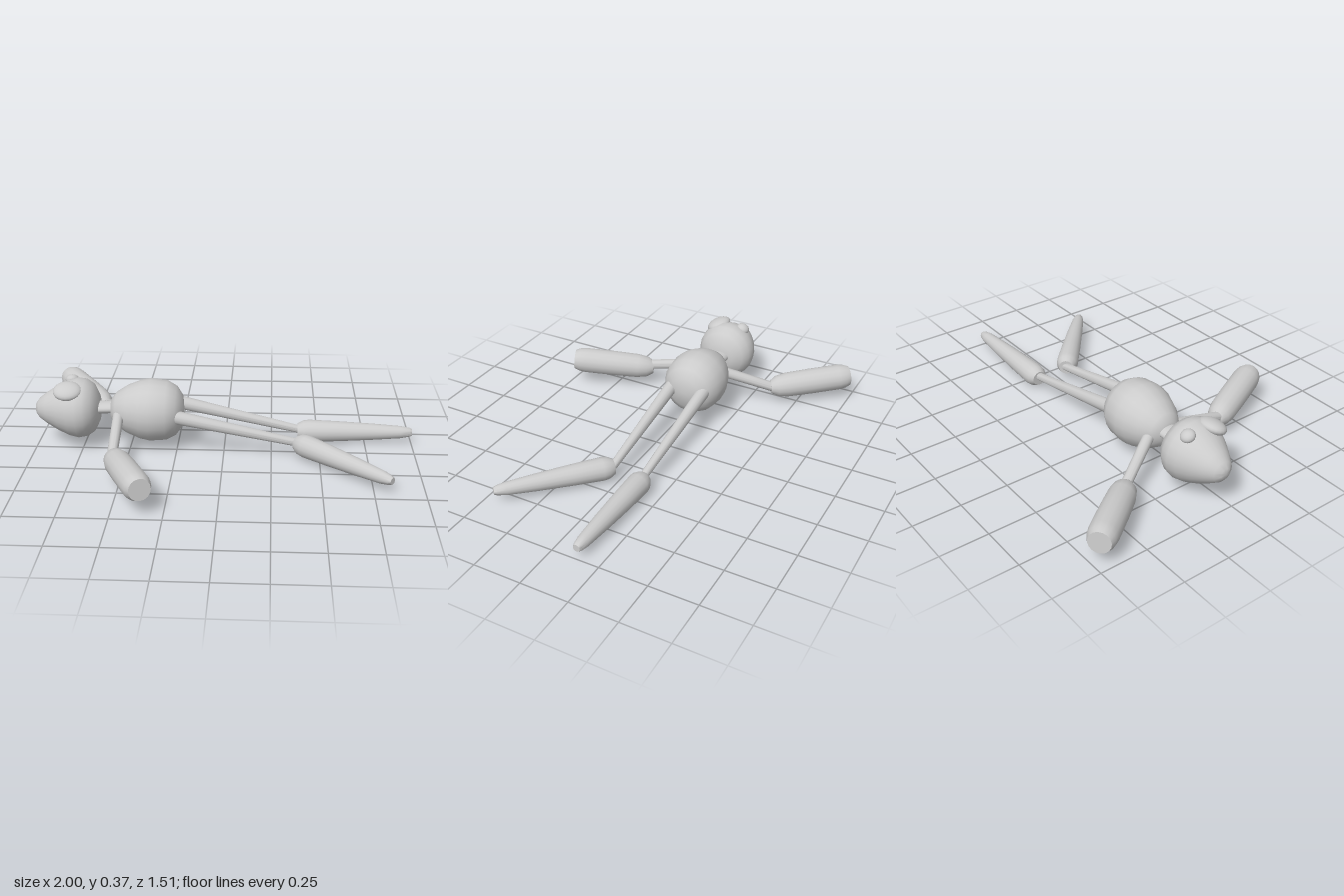
import * as THREE from 'three';
import { toCreasedNormals } from 'three/addons/utils/BufferGeometryUtils.js';

const material = new THREE.MeshStandardMaterial({ color: 0xcccccc, side: THREE.DoubleSide });
const UP = new THREE.Vector3(0, 1, 0);

// Turned solid running from a to b; profile holds [radius, fraction along] pairs.
function turned(name, a, b, profile, segments = 16, crease = 0.75) {
  const start = new THREE.Vector3(...a);
  const dir = new THREE.Vector3(...b).sub(start);
  const length = dir.length();
  const points = profile.map(([r, t]) => new THREE.Vector2(r, t * length));
  const geometry = toCreasedNormals(new THREE.LatheGeometry(points, segments), crease);
  const mesh = new THREE.Mesh(geometry, material);
  mesh.name = name;
  mesh.position.copy(start);
  mesh.quaternion.setFromUnitVectors(UP, dir.normalize());
  return mesh;
}

// Flattened button eye, tilted about x.
function eye(name, position, radii, tilt) {
  const mesh = new THREE.Mesh(new THREE.SphereGeometry(1, 20, 12), material);
  mesh.name = name;
  mesh.position.set(...position);
  mesh.scale.set(...radii);
  mesh.rotation.x = tilt;
  return mesh;
}

const rod = (r0, r1) => [[0, 0], [r0, 0], [r1, 1], [0, 1]];
const FOREARM = [[0, 0], [0.035, 0], [0.058, 0.08], [0.068, 0.2], [0.071, 0.5], [0.071, 0.86], [0.066, 0.94], [0.055, 1], [0, 1]];
const SHIN = [[0, 0], [0.04, 0], [0.056, 0.05], [0.06, 0.1], [0.054, 0.35], [0.044, 0.65], [0.033, 0.9], [0.024, 0.98], [0.018, 1], [0, 1]];

export function createModel() {
  const model = new THREE.Group();
  model.name = 'lyingFigure';

  // Body: faceted barrel, fuller towards the hips
  model.add(turned('body', [-0.595, 0.22, -0.05], [-0.21, 0.215, -0.05], [
    [0, 0], [0.055, 0], [0.09, 0.07], [0.128, 0.22], [0.156, 0.4],
    [0.166, 0.53], [0.158, 0.76], [0.13, 0.89], [0.085, 0.97], [0, 1],
  ], 20, 1));

  // Head: teardrop with the snout towards -x
  model.add(turned('head', [-1, 0.215, -0.05], [-0.655, 0.225, -0.05], [
    [0, 0], [0.028, 0.015], [0.055, 0.07], [0.085, 0.19], [0.122, 0.37], [0.148, 0.53],
    [0.16, 0.67], [0.153, 0.79], [0.128, 0.9], [0.075, 0.98], [0, 1],
  ], 24, 1));
  model.add(eye('leftEye', [-0.81, 0.345, 0.027], [0.075, 0.034, 0.065], 0.4));
  model.add(eye('rightEye', [-0.81, 0.35, -0.122], [0.037, 0.028, 0.037], -0.4));

  // Neck: oval rod
  const neck = turned('neck', [-0.7, 0.225, -0.05], [-0.55, 0.23, -0.05], rod(0.053, 0.055));
  neck.scale.x = 0.55;
  model.add(neck);

  // Limbs: thin upper rods, thick lower sections
  const arms = [
    ['left', [-0.55, 0.22, 0], [-0.54, 0.125, 0.35], [-0.54, 0.115, 0.31], [-0.352, 0.152, 0.727]],
    ['right', [-0.53, 0.215, -0.1], [-0.7, 0.09, -0.41], [-0.68, 0.1, -0.365], [-0.955, 0.135, -0.725]],
  ];
  for (const [side, shoulder, elbow, start, hand] of arms) {
    model.add(turned(side + 'UpperArm', shoulder, elbow, rod(0.029, 0.026)));
    model.add(turned(side + 'Forearm', start, hand, FOREARM));
  }
  const legs = [
    ['left', [-0.3, 0.225, 0.042], [0.42, 0.075, 0.037], [0.385, 0.08, 0.035], [0.835, 0.078, 0.443]],
    ['right', [-0.3, 0.235, -0.145], [0.42, 0.075, -0.138], [0.39, 0.07, -0.14], [1, 0.075, -0.136]],
  ];
  for (const [side, hip, knee, start, foot] of legs) {
    model.add(turned(side + 'Thigh', hip, knee, rod(0.037, 0.02)));
    model.add(turned(side + 'Shin', start, foot, SHIN));
  }
  return model;
}
